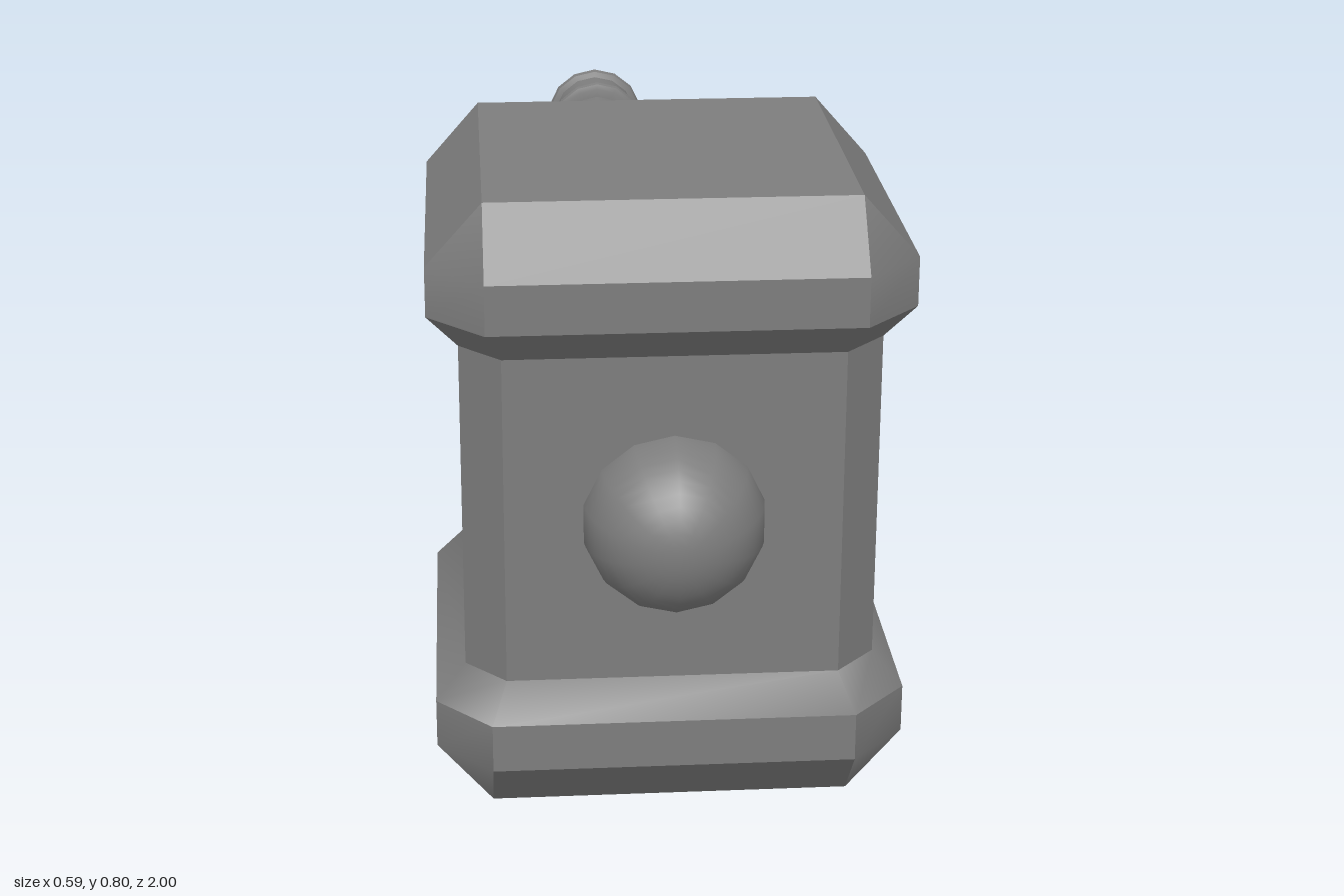
import * as THREE from 'three';
import { toCreasedNormals } from 'three/addons/utils/BufferGeometryUtils.js';

const AXIS_Y = 0.4, HEAD_Z = 0.646;

// Rectangle with cut corners, as eight points at one height
function section([y, hx, hz, c]) {
  return [
    [hx - c, hz], [hx, hz - c], [hx, -hz + c], [hx - c, -hz],
    [-hx + c, -hz], [-hx, -hz + c], [-hx, hz - c], [-hx + c, hz],
  ].map(([x, z]) => [x, y, z]);
}

// Skin a stack of sections, bottom to top, and cap both ends
function loft(levels) {
  const rings = levels.map(section), n = 8, index = [];
  rings.slice(1).forEach((_, r) => {
    for (let i = 0; i < n; i++) {
      const a = r * n + i, b = r * n + (i + 1) % n;
      index.push(a, b, b + n, a, b + n, a + n);
    }
  });
  const top = (rings.length - 1) * n;
  for (let i = 1; i < n - 1; i++) {
    index.push(0, i + 1, i, top, top + i, top + i + 1);
  }
  const g = new THREE.BufferGeometry();
  g.setAttribute('position', new THREE.Float32BufferAttribute(rings.flat(2), 3));
  g.setIndex(index);
  return toCreasedNormals(g, 0.61);
}

// Turned part along z; the profile lists [radius, z] with z increasing
function turned(profile, sides) {
  const g = new THREE.LatheGeometry(profile.map(([r, z]) => new THREE.Vector2(r, z)), sides);
  g.rotateX(Math.PI / 2);
  return toCreasedNormals(g, 0.65);
}

// Rounded raised band for a turned profile
function band(z, base, rise, half) {
  return [[base, z - half], [base + rise * 0.8, z - half * 0.7], [base + rise, z],
    [base + rise * 0.8, z + half * 0.7], [base, z + half]];
}

export function createModel() {
  const group = new THREE.Group();
  const darkGrey = new THREE.MeshStandardMaterial({ color: 0x7d7d7d });
  const add = (name, geometry, y, z) => {
    const mesh = new THREE.Mesh(geometry, darkGrey);
    mesh.name = name;
    mesh.position.set(0, y, z);
    group.add(mesh);
  };

  // Head: lower half of the section stack, mirrored upward
  const H = 0.804;
  const lower = [
    [0, 0.227, 0.215, 0],
    [0.08, 0.297, 0.283, 0.07],
    [0.143, 0.297, 0.283, 0.07],
    [0.187, 0.259, 0.247, 0.051],
  ];
  const upper = lower.map(([y, ...rest]) => [H - y, ...rest]).reverse();
  add('head', loft([...lower, ...upper]), 0, HEAD_Z);

  // Domed stud on the front of the head, one corner pointing up
  const stud = new THREE.SphereGeometry(0.114, 14, 12, 0, Math.PI * 2, 0, Math.PI / 2 + 0.1);
  stud.rotateX(Math.PI / 2);
  stud.rotateZ(Math.PI / 2);
  add('stud', stud, AXIS_Y, 0.886);

  // Shaft
  const shaft = new THREE.CylinderGeometry(0.059, 0.059, 1.15, 14);
  shaft.rotateX(Math.PI / 2);
  add('shaft', shaft, AXIS_Y, -0.25);

  // Collar where the shaft enters the head: ring, neck and stepped flange
  add('collar', turned([
    [0.055, 0.303], ...band(0.311, 0.072, 0.012, 0.01),
    [0.072, 0.355], [0.08, 0.368], [0.082, 0.383], [0.09, 0.388], [0.09, 0.41],
  ], 14), AXIS_Y, 0);

  // Pommel: domed end, ringed grip cap
  const dome = [];
  for (let i = 0; i <= 6; i++) {
    const a = (i / 6) * Math.PI / 2;
    dome.push([0.075 * Math.sin(a), -0.921 - 0.079 * Math.cos(a)]);
  }
  add('pommel', turned([
    ...dome, ...band(-0.9, 0.075, 0.012, 0.011),
    ...band(-0.82, 0.073, 0.011, 0.009), [0.055, -0.81],
  ], 14), AXIS_Y, 0);

  return group;
}
